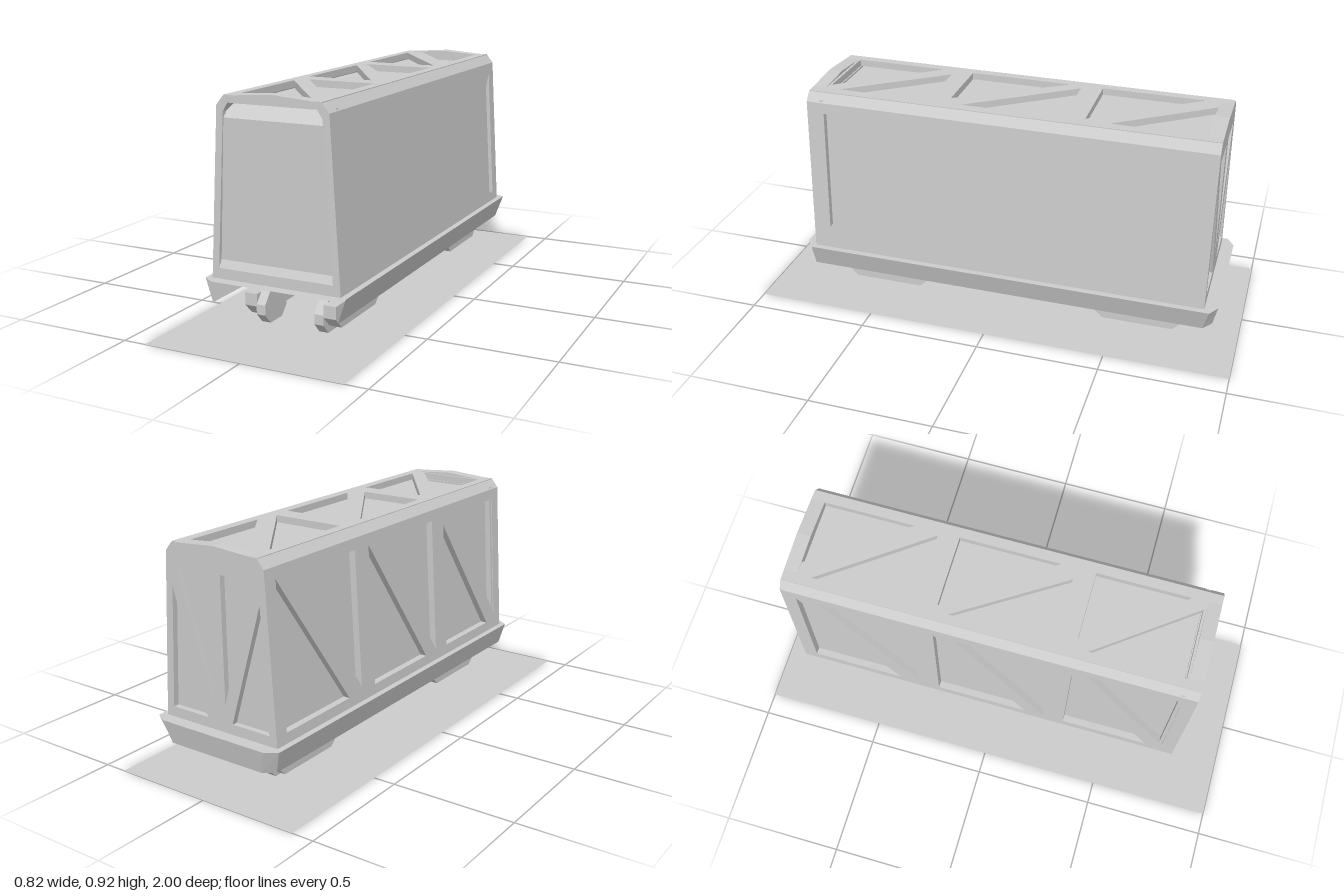
import * as THREE from 'three';

const CX = 0.022; // the wagon stands slightly off the ground plate's centre
const grey = new THREE.MeshStandardMaterial({ color: 0xcccccc, flatShading: true });
const greyThin = new THREE.MeshStandardMaterial({ color: 0xcccccc, flatShading: true, side: THREE.DoubleSide });

const poly = (pts) => pts.map(([x, y]) => new THREE.Vector2(x, y));

// Extrude an outline with holes, then move every vertex by a rule
function plate(name, outline, holes, depth, rule) {
  const shape = new THREE.Shape(poly(outline));
  for (const h of holes) shape.holes.push(new THREE.Path(poly(h)));
  const geo = new THREE.ExtrudeGeometry(shape, { depth, bevelEnabled: false });
  const p = geo.attributes.position;
  for (let i = 0; i < p.count; i++) p.setXYZ(i, ...rule(p.getX(i), p.getY(i), p.getZ(i)));
  geo.computeVertexNormals();
  const mesh = new THREE.Mesh(geo, grey);
  mesh.name = name;
  return mesh;
}

// Outline in x, y run between two z values
const along = (name, outline, z0, z1, holes = []) =>
  plate(name, outline, holes, z1 - z0, (x, y, w) => [x, y, z0 + w]);

const mirrorX = (pts) => pts.map(([x, y]) => [-x, y]);

// Half width of the leaning side walls at a height
const halfWidth = (y) => 0.268 - (0.04 * (y - 0.21)) / 0.66;

export function createModel() {
  const model = new THREE.Group();
  model.name = 'trussWagon';
  const wagon = new THREE.Group();
  wagon.name = 'wagon';
  wagon.position.x = CX;
  model.add(wagon);

  // Ground plate
  const ground = new THREE.Mesh(new THREE.PlaneGeometry(0.82, 2).rotateX(-Math.PI / 2), greyThin);
  ground.name = 'groundPlate';
  model.add(ground);

  // Inner hull behind the frames
  wagon.add(along('innerHull',
    [[-0.24, 0.21], [0.24, 0.21], [0.202, 0.84], [0.18, 0.872], [-0.18, 0.872], [-0.202, 0.84]], -0.845, 0.735));

  // Side frames with triangular openings (z, y)
  const sideHoles = [
    [[0.735, 0.825], [0.365, 0.825], [0.735, 0.29]],
    [[0.305, 0.79], [0.305, 0.26], [0.665, 0.26]],
    [[0.215, 0.825], [-0.165, 0.825], [0.215, 0.265]],
    [[-0.25, 0.825], [-0.25, 0.26], [0.135, 0.26]],
    [[-0.34, 0.825], [-0.725, 0.825], [-0.34, 0.28]],
    [[-0.81, 0.825], [-0.81, 0.26], [-0.425, 0.26]],
  ];
  const sideOutline = [[-0.868, 0.21], [0.79, 0.21], [0.79, 0.87], [-0.868, 0.87]];
  for (const s of [1, -1]) {
    const flip = (pts) => pts.map(([z, y]) => [-s * z, y]);
    wagon.add(plate(s > 0 ? 'leftSideFrame' : 'rightSideFrame', flip(sideOutline), sideHoles.map(flip), 0.028,
      (u, y, w) => [s * (halfWidth(y) - 0.028 + w), y, -s * u]));
    // Bevelled eave above the side
    const eave = [[0.228, 0.87], [0.2, 0.905], [0.165, 0.905], [0.2, 0.85]];
    wagon.add(along(s > 0 ? 'leftEave' : 'rightEave', s > 0 ? eave : mirrorX(eave), -0.868, 0.79));
  }

  // Back frame with a V of braces around a centre post
  const section = [[-0.268, 0.21], [0.268, 0.21], [0.228, 0.87], [0.2, 0.905], [0, 0.92], [-0.2, 0.905], [-0.228, 0.87]];
  const backHoles = [
    [[0.028, 0.82], [0.185, 0.82], [0.028, 0.33]],
    [[0.205, 0.74], [0.232, 0.26], [0.06, 0.26]],
  ];
  wagon.add(along('backFrame', section, -0.868, -0.843, [...backHoles, ...backHoles.map(mirrorX)]));

  // Front wall: side profile (z, y) with sill and sloped lintel, run across the leaning width
  const frontProfile = [[0.72, 0.21], [0.79, 0.21], [0.79, 0.26], [0.775, 0.29], [0.785, 0.825], [0.735, 0.88], [0.72, 0.88]];
  wagon.add(plate('frontWall', frontProfile.map(([z, y]) => [-z, y]), [], 2,
    (u, y, w) => [(w - 1) * (halfWidth(Math.min(y, 0.87)) - 0.004), y, -u]));

  // Roof frame with diagonal straps (x, z)
  const roofHoles = [
    [[-0.09, -0.815], [0.18, -0.815], [0.18, -0.44]],
    [[-0.14, -0.755], [-0.14, -0.34], [0.165, -0.34]],
    [[-0.115, -0.255], [0.18, -0.255], [0.18, 0.155]],
    [[-0.14, -0.205], [-0.14, 0.215], [0.13, 0.215]],
    [[-0.1, 0.295], [0.18, 0.295], [0.18, 0.675]],
    [[-0.14, 0.345], [-0.14, 0.725], [0.145, 0.725]],
  ].map((h) => h.map(([x, z]) => [x - CX, -z]));
  wagon.add(plate('roofFrame', [[-0.2, -0.788], [0.2, -0.788], [0.2, 0.865], [-0.2, 0.865]], roofHoles, 0.028,
    (x, v, w) => [x, 0.88 + w, -v]));

  // Arched roof ends
  const arch = [[-0.165, 0.88], [0.165, 0.88], [0.2, 0.905], [0, 0.92], [-0.2, 0.905]];
  wagon.add(along('frontRoofArch', arch, 0.735, 0.79));
  wagon.add(along('backRoofArch', arch, -0.866, -0.812));

  // Deck with cut corners
  const half = [[0.292, 0.8], [0.292, -0.89], [0.245, -0.92]];
  const deckPts = [[0.245, 0.835], ...half, ...mirrorX(half).reverse(), [-0.245, 0.835]];
  const deck = new THREE.Mesh(
    new THREE.ShapeGeometry(new THREE.Shape(poly(deckPts.map(([x, z]) => [x, -z])))).rotateX(-Math.PI / 2), greyThin);
  deck.name = 'deck';
  deck.position.y = 0.219;
  wagon.add(deck);

  // Flared skirt, open at the front
  const low = [[0.262, 0.8], [0.262, -0.868], [0.218, -0.9]];
  const top = [...half, ...mirrorX(half).reverse()];
  const bottom = [...low, ...mirrorX(low).reverse()];
  const pos = [];
  const index = [];
  top.forEach(([x, z], i) => {
    pos.push(x, 0.219, z, bottom[i][0], 0.125, bottom[i][1]);
    if (i) index.push(2 * i - 2, 2 * i - 1, 2 * i, 2 * i, 2 * i - 1, 2 * i + 1);
  });
  const skirtGeo = new THREE.BufferGeometry();
  skirtGeo.setAttribute('position', new THREE.Float32BufferAttribute(pos, 3));
  skirtGeo.setIndex(index);
  skirtGeo.computeVertexNormals();
  const skirt = new THREE.Mesh(skirtGeo, greyThin);
  skirt.name = 'skirt';
  wagon.add(skirt);

  // Bogies: an outer side frame and one inner wheel block per side (z, y)
  const frame = [[-0.19, 0.14], [-0.19, 0.09], [-0.145, 0.046], [0.145, 0.046], [0.19, 0.09], [0.19, 0.14]];
  const wheel = [[-0.08, 0.1], [-0.08, 0.06], [-0.042, 0.02], [0.042, 0.02], [0.08, 0.06], [0.08, 0.1], [0.042, 0.145], [-0.042, 0.145]];
  for (const [label, zFrame, zWheel] of [['front', 0.495, 0.607], ['back', -0.595, -0.69]]) {
    const bogie = new THREE.Group();
    bogie.name = label + 'Bogie';
    for (const s of [1, -1]) {
      const across = (name, pts, z, x0, x1) => bogie.add(plate(name, pts, [], x1 - x0,
        (u, y, w) => [s > 0 ? x0 + w : -x1 + w, y, z - u]));
      across('bogieFrame', frame, zFrame, 0.142, 0.194);
      across('wheelBlock', wheel, zWheel, 0.105, 0.143);
    }
    wagon.add(bogie);
  }
  return model;
}
